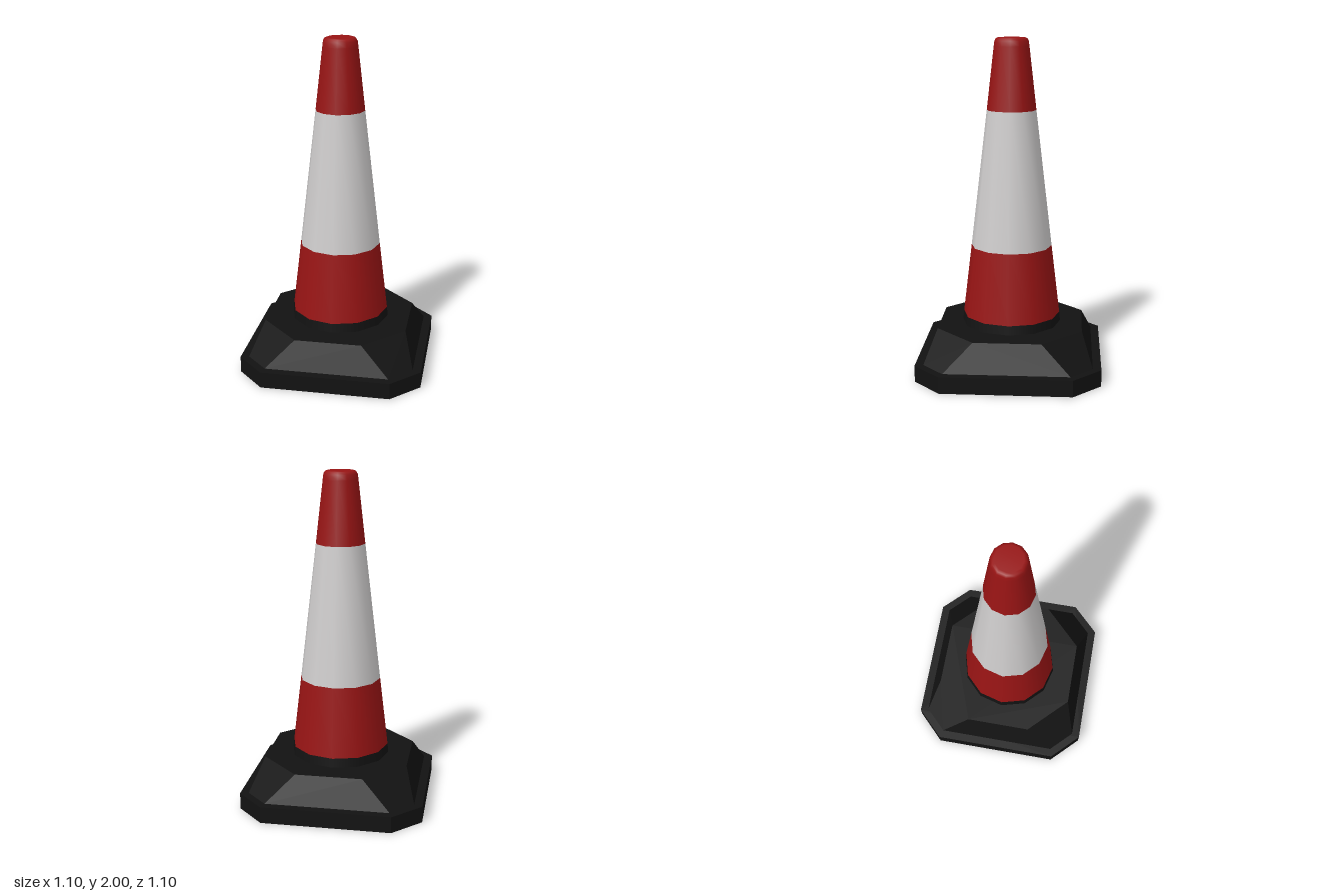
import * as THREE from 'three';
import { ConvexGeometry } from 'three/addons/geometries/ConvexGeometry.js';

const material = (name, color) => {
  const m = new THREE.MeshStandardMaterial({ color });
  m.name = name;
  return m;
};

// Square ring with cut corners: half = half width, flat = half length of each straight side
function octagon(half, flat, y) {
  const points = [];
  for (const sx of [-1, 1]) for (const sz of [-1, 1]) {
    points.push(new THREE.Vector3(sx * half, y, sz * flat), new THREE.Vector3(sx * flat, y, sz * half));
  }
  return points;
}

export function createModel() {
  const group = new THREE.Group();
  group.name = 'trafficCone';
  const red = material('red plastic', 0x981414);
  const white = material('white sleeve', 0xcfcdcd);
  const black = material('black rubber', 0x121212);

  const add = (name, geometry, mat) => {
    const mesh = new THREE.Mesh(geometry, mat);
    mesh.name = name;
    group.add(mesh);
  };
  const tier = (name, lower, upper) =>
    add(name, new ConvexGeometry([...octagon(...lower), ...octagon(...upper)]), black);
  const band = (name, profile, mat) =>
    add(name, new THREE.LatheGeometry(profile.map(([r, y]) => new THREE.Vector2(r, y)), 12), mat);

  // Base: straight slab with a tapered tier on it
  tier('baseSlab', [0.55, 0.385, 0], [0.55, 0.385, 0.1]);
  tier('baseTier', [0.5, 0.37, 0.1], [0.435, 0.2, 0.27]);

  // Twelve-sided cone body in coloured bands
  band('collar', [[0.302, 0.265], [0.296, 0.325]], black);
  band('lowerBand', [[0.296, 0.325], [0.245, 0.75]], red);
  band('sleeve', [[0.245, 0.75], [0.148, 1.575]], white);
  band('upperBand', [[0.148, 1.575], [0.105, 1.95]], red);

  // Rounded tip
  band('tip', [[0.105, 1.95], [0.101, 1.98], [0.092, 1.995], [0.078, 2], [0, 2]], red);

  return group;
}
